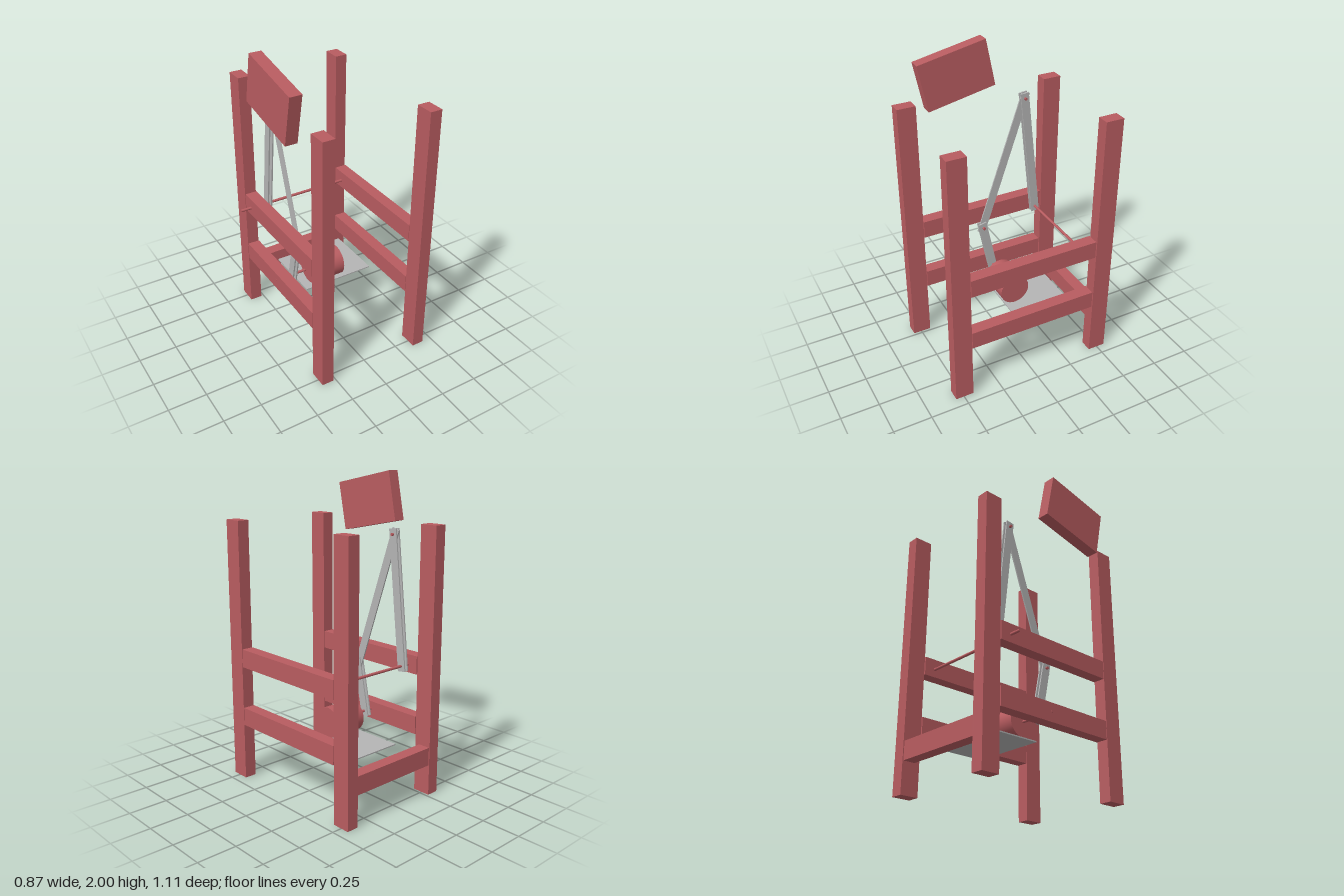
import * as THREE from 'three';

export function createModel() {
  const model = new THREE.Group();
  model.name = 'linkageFrame';

  const red = new THREE.MeshStandardMaterial({ color: 0xb85c60 });
  red.name = 'red paint';
  const grey = new THREE.MeshStandardMaterial({ color: 0xb4b4b4 });
  grey.name = 'grey metal';

  // Box given by its min and max along each axis
  function box(name, mat, [x0, x1], [y0, y1], [z0, z1]) {
    const mesh = new THREE.Mesh(new THREE.BoxGeometry(x1 - x0, y1 - y0, z1 - z0), mat);
    mesh.position.set((x0 + x1) / 2, (y0 + y1) / 2, (z0 + z1) / 2);
    mesh.name = name;
    model.add(mesh);
    return mesh;
  }

  // Cylinder lying along x
  function rod(name, x0, x1, y, z, r, sides = 20) {
    const geo = new THREE.CylinderGeometry(r, r, x1 - x0, sides).rotateZ(Math.PI / 2);
    const mesh = new THREE.Mesh(geo, red);
    mesh.position.set((x0 + x1) / 2, y, z);
    mesh.name = name;
    model.add(mesh);
  }

  // Flat bar between two pivots [y, z], reaching a little past both
  function link(name, x, a, b) {
    const dy = b[0] - a[0], dz = b[1] - a[1];
    const geo = new THREE.BoxGeometry(0.009, Math.hypot(dy, dz) + 0.07, 0.056);
    const mesh = new THREE.Mesh(geo, grey);
    mesh.position.set(x, (a[0] + b[0]) / 2, (a[1] + b[1]) / 2);
    mesh.rotation.x = Math.atan2(dz, dy);
    mesh.name = name;
    model.add(mesh);
  }

  // Two side frames: posts and rails
  for (const [side, xs] of [['right', [-0.346, -0.267]], ['left', [0.355, 0.434]]]) {
    box(side + 'FrontPost', red, xs, [0, 1.705], [0.434, 0.554]);
    box(side + 'BackPost', red, xs, [0, 1.705], [-0.556, -0.437]);
    box(side + 'UpperRail', red, xs, [0.77, 0.888], [-0.43, 0.43]);
    box(side + 'LowerRail', red, xs, [0.375, 0.493], [-0.43, 0.43]);
  }

  // Back crossbar and thin base plate
  box('backCrossbar', red, [-0.267, 0.355], [0.2, 0.318], [-0.55, -0.471]);
  box('basePlate', grey, [-0.15, 0.35], [0.316, 0.324], [-0.374, 0.026]);

  // Tilted block beside the right frame
  const block = box('tiltedBlock', red, [-0.438, -0.36], [1.643, 1.958], [-0.112, 0.352]);
  block.rotation.x = 0.2;

  // Motor drum, shafts and pins
  const motor = [0.44, -0.033], elbow = [0.76, 0.033];
  const apex = [1.633, -0.268], fixed = [0.822, -0.356];
  rod('motorDrum', -0.103, 0.117, ...motor, 0.1, 48);
  rod('motorShaft', -0.348, -0.103, ...motor, 0.009);
  rod('pivotShaft', -0.419, 0.355, ...fixed, 0.009);
  rod('elbowPin', -0.249, -0.189, ...elbow, 0.009);
  rod('apexPin', -0.251, -0.191, ...apex, 0.009);

  // Linkage: paired crank and rocker bars around a single coupler
  for (const x of [-0.232, -0.208]) {
    link('crankBar', x, motor, elbow);
    link('rockerBar', x, fixed, apex);
  }
  link('couplerBar', -0.22, elbow, apex);

  return model;
}
